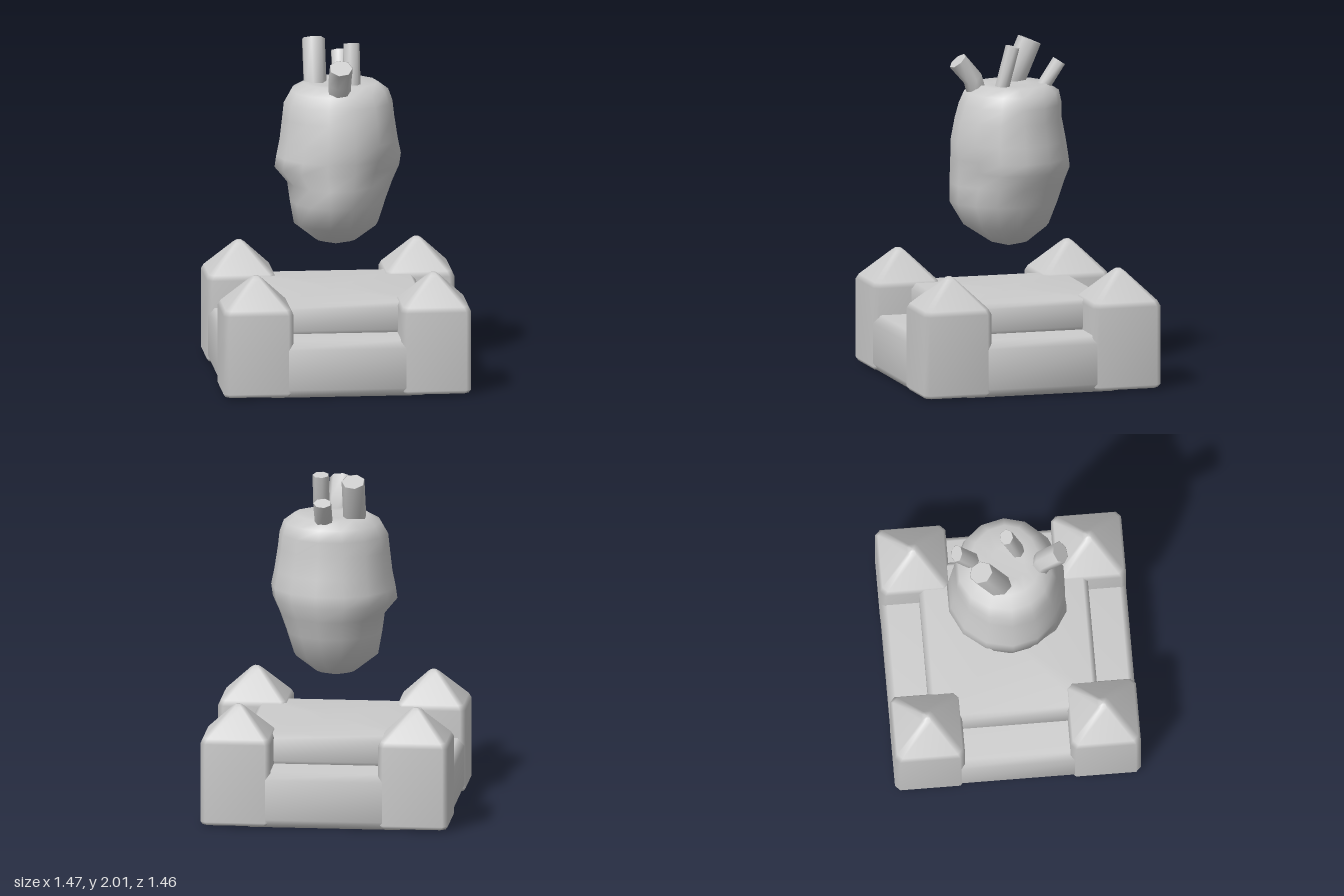
import * as THREE from 'three';

const grey = new THREE.MeshStandardMaterial({ color: 0xcccccc });

// Skin a stack of equal-length rings (bottom to top) and close both ends.
function loft(name, rings, endLift = 0) {
  const n = rings[0].length;
  const pos = [], idx = [];
  rings.forEach(r => r.forEach(p => pos.push(...p)));
  for (let j = 0; j < rings.length - 1; j++) {
    for (let i = 0; i < n; i++) {
      const a = j * n + i, b = j * n + (i + 1) % n;
      idx.push(a, a + n, b, b, a + n, b + n);
    }
  }
  const mid = r => [0, 1, 2].map(k => r.reduce((s, p) => s + p[k], 0) / n);
  const last = (rings.length - 1) * n, c = rings.length * n;
  const low = mid(rings[0]), high = mid(rings[rings.length - 1]);
  low[1] -= endLift;
  pos.push(...low, ...high);
  for (let i = 0; i < n; i++) {
    const k = (i + 1) % n;
    idx.push(c, i, k, c + 1, last + k, last + i);
  }
  const geo = new THREE.BufferGeometry();
  geo.setAttribute('position', new THREE.Float32BufferAttribute(pos, 3));
  geo.setIndex(idx);
  geo.computeVertexNormals();
  const mesh = new THREE.Mesh(geo, grey);
  mesh.name = name;
  return mesh;
}

// Square ring with cut corners, half-width h.
function squareRing(y, h, cut) {
  const k = h - cut;
  return [[h, -k], [h, k], [k, h], [-k, h], [-h, k], [-h, -k], [-k, -h], [k, -h]]
    .map(([x, z]) => [x, y, z]);
}
const block = (name, profile, cut) =>
  loft(name, profile.map(([y, h]) => squareRing(y, h, Math.min(cut, h * 0.4))));

// Angular bump centred on direction a0 and height y0.
function bump(a, y, a0, y0, wa, wy) {
  const da = Math.atan2(Math.sin(a - a0), Math.cos(a - a0));
  return Math.exp(-((da / wa) ** 2) - ((y - y0) / wy) ** 2);
}

function heartBody() {
  // y, right extent, left extent, back extent, front extent
  const rows = [
    [0.81, 0.12, 0.12, 0.12, 0.11],
    [0.91, 0.25, 0.25, 0.24, 0.26],
    [1.05, 0.275, 0.295, 0.295, 0.335],
    [1.16, 0.29, 0.335, 0.33, 0.34],
    [1.25, 0.365, 0.375, 0.365, 0.34],
    [1.32, 0.355, 0.385, 0.355, 0.34],
    [1.42, 0.335, 0.365, 0.34, 0.34],
    [1.55, 0.32, 0.345, 0.315, 0.315],
    [1.64, 0.31, 0.335, 0.315, 0.29],
    [1.71, 0.27, 0.31, 0.30, 0.26],
    [1.755, 0.19, 0.25, 0.23, 0.19],
    [1.75, 0.10, 0.12, 0.11, 0.10],
  ];
  const n = 14;
  const rings = rows.map(([y, right, left, back, front]) =>
    Array.from({ length: n }, (_, i) => {
      const a = i / n * Math.PI * 2;
      const c = Math.cos(a), s = Math.sin(a);
      // furrow on the front left, small swellings beside it
      const f = 1 - 0.13 * bump(a, y, 0.85, 1.2, 0.35, 0.14)
        + 0.05 * bump(a, y, 1.9, 1.05, 0.5, 0.15)
        + 0.04 * bump(a, y, 1.0, 1.5, 0.5, 0.12);
      return [c * (c > 0 ? left : right) * f, y, s * (s > 0 ? front : back) * f];
    }));
  return loft('heartBody', rings, 0.03);
}

// Six-sided vessel following a short path, with a flat cut end.
function vessel(name, path, rx, rz) {
  const group = new THREE.Group();
  group.name = name;
  const pts = path.map(p => new THREE.Vector3(...p));
  const side = new THREE.Vector3(1, 0, 0);
  const rings = pts.map((p, j) => {
    const dir = pts[Math.min(j + 1, pts.length - 1)].clone().sub(pts[Math.max(j - 1, 0)]).normalize();
    const fwd = side.clone().cross(dir).normalize();
    return Array.from({ length: 7 }, (_, i) => {
      const a = i / 7 * Math.PI * 2;
      return p.clone().addScaledVector(side, Math.cos(a) * rx)
        .addScaledVector(fwd, Math.sin(a) * rz).toArray();
    });
  });
  // a doubled last ring keeps the rim sharp
  const end = rings[rings.length - 1];
  const inset = end.map(p => p.map((v, k) => v + (pts[pts.length - 1].getComponent(k) - v) * 0.05));
  group.add(loft(name + 'Wall', [...rings, inset]));
  return group;
}

export function createModel() {
  const model = new THREE.Group();
  model.name = 'heartOnPedestal';

  // Stepped pedestal
  const base = new THREE.Group();
  base.name = 'pedestal';
  base.add(block('lowerSlab', [[0, 0.69], [0.05, 0.728], [0.29, 0.728], [0.34, 0.69]], 0.25));
  base.add(block('upperSlab', [[0.32, 0.47], [0.36, 0.5], [0.49, 0.5], [0.52, 0.47]], 0.08));

  // Four corner posts with pyramid caps
  for (const sx of [-1, 1]) for (const sz of [-1, 1]) {
    const post = block('cornerPost', [
      [0.01, 0.195], [0.03, 0.208], [0.5, 0.208], [0.53, 0.193], [0.69, 0.035], [0.705, 0.015],
    ], 0.03);
    post.position.set(sx * 0.527, 0, sz * 0.521);
    base.add(post);
  }
  model.add(base);

  // Floating heart with its vessels
  const heart = new THREE.Group();
  heart.name = 'heart';
  heart.add(heartBody());
  heart.add(vessel('frontVessel', [[0, 1.66, 0.18], [0, 1.79, 0.215], [0, 1.9, 0.31]], 0.07, 0.06));
  heart.add(vessel('largeVessel', [[-0.12, 1.66, -0.03], [-0.12, 1.985, -0.17]], 0.07, 0.075));
  heart.add(vessel('thinVessel', [[0.09, 1.68, 0.08], [0.09, 1.985, -0.002]], 0.05, 0.042));
  heart.add(vessel('backVessel', [[0.05, 1.67, -0.16], [0.05, 1.88, -0.3]], 0.055, 0.04));
  model.add(heart);
  return model;
}
